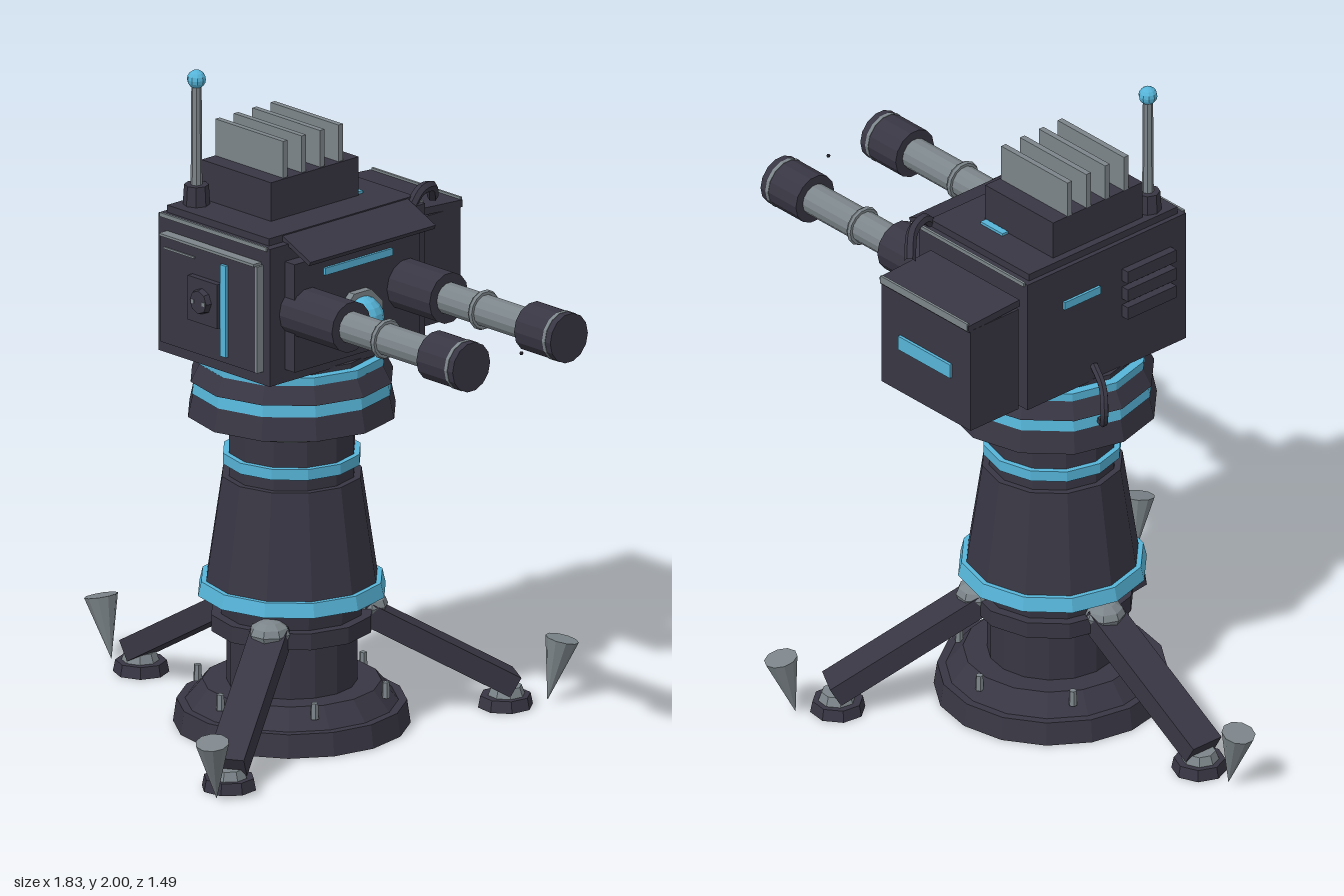
import * as THREE from 'three';

export function createModel() {
  const model = new THREE.Group();
  model.name = 'turret';
  const material = (name, color) => {
    const m = new THREE.MeshStandardMaterial({ color, flatShading: true });
    m.name = name;
    return m;
  };
  const dark = material('dark metal', 0x383643);
  const grey = material('grey steel', 0x7c858a);
  const cyan = material('cyan glow', 0x56b4d8);

  const add = (parent, name, geometry, mat, x = 0, y = 0, z = 0) => {
    const mesh = new THREE.Mesh(geometry, mat);
    mesh.name = name;
    mesh.position.set(x, y, z);
    parent.add(mesh);
    return mesh;
  };
  // box given by its limits on each axis
  const box = (parent, name, mat, [x0, x1], [y0, y1], [z0, z1]) =>
    add(parent, name, new THREE.BoxGeometry(x1 - x0, y1 - y0, z1 - z0), mat,
      (x0 + x1) / 2, (y0 + y1) / 2, (z0 + z1) / 2);
  // upright drum between two heights
  const drum = (parent, name, mat, rBottom, rTop, y0, y1, sides = 12, x = 0, z = 0) =>
    add(parent, name, new THREE.CylinderGeometry(rTop, rBottom, y1 - y0, sides), mat, x, (y0 + y1) / 2, z);
  // drum lying along x
  const barrel = (parent, name, mat, r, x0, x1, y, z, sides = 14) => {
    const m = add(parent, name, new THREE.CylinderGeometry(r, r, x1 - x0, sides), mat, (x0 + x1) / 2, y, z);
    m.rotation.z = -Math.PI / 2;
    return m;
  };
  const tube = (parent, name, mat, points, r) => {
    const curve = new THREE.CatmullRomCurve3(points.map(p => new THREE.Vector3(...p)));
    return add(parent, name, new THREE.TubeGeometry(curve, 14, r, 6), mat);
  };

  // Pedestal
  const column = new THREE.Group();
  column.name = 'pedestal';
  column.position.x = -0.065;
  model.add(column);
  [
    ['basePlate', dark, 0.345, 0.335, 0, 0.07, 16],
    ['baseStep', dark, 0.31, 0.26, 0.07, 0.13, 16],
    ['lowerColumn', dark, 0.19, 0.19, 0.13, 0.41, 16],
    ['legCollar', dark, 0.24, 0.24, 0.295, 0.345],
    ['upperCollar', dark, 0.21, 0.22, 0.345, 0.41],
    ['lowerGlowRing', cyan, 0.28, 0.27, 0.405, 0.448],
    ['taperedBody', dark, 0.255, 0.208, 0.448, 0.765],
    ['neck', dark, 0.188, 0.188, 0.765, 0.93],
    ['neckGlowRing', cyan, 0.205, 0.205, 0.803, 0.836],
    ['bearingRing', grey, 0.215, 0.24, 0.922, 0.955, 16],
    ['turntableLower', dark, 0.31, 0.295, 0.955, 1.025],
    ['turntableGlowBand', cyan, 0.298, 0.292, 1.025, 1.062],
    ['turntableUpper', dark, 0.302, 0.275, 1.062, 1.115],
    ['turntableTopGlow', cyan, 0.278, 0.278, 1.115, 1.14],
    ['turntableCap', dark, 0.25, 0.25, 1.14, 1.155],
  ].forEach(([name, mat, ...dims]) => drum(column, name, mat, ...dims));

  for (let i = 0; i < 6; i++) {
    const a = Math.PI / 6 + i * Math.PI / 3;
    drum(column, 'baseBolt', grey, 0.013, 0.011, 0.10, 0.148, 6, 0.285 * Math.cos(a), 0.285 * Math.sin(a));
  }

  // Three legs with feet and ground spikes
  for (const a of [Math.PI, Math.PI / 3, -Math.PI / 3]) {
    const leg = new THREE.Group();
    leg.name = 'leg';
    leg.rotation.y = a;
    column.add(leg);
    const hinge = add(leg, 'legHinge', new THREE.SphereGeometry(0.062, 8, 6), grey, 0.225, 0.342, 0);
    hinge.scale.y = 0.65;
    const from = new THREE.Vector2(0.2, 0.335), to = new THREE.Vector2(0.655, 0.07);
    const strut = add(leg, 'legStrut', new THREE.BoxGeometry(from.distanceTo(to), 0.066, 0.11), dark,
      (from.x + to.x) / 2, (from.y + to.y) / 2, 0);
    strut.rotation.z = Math.atan2(to.y - from.y, to.x - from.x);
    drum(leg, 'footPad', dark, 0.082, 0.075, 0, 0.035, 8, 0.637);
    drum(leg, 'footJoint', grey, 0.055, 0.045, 0.035, 0.062, 8, 0.64);
    const spike = add(leg, 'groundSpike', new THREE.ConeGeometry(0.05, 0.19, 10), grey, 0.784, 0.099, 0);
    spike.rotation.z = Math.PI - 0.235;
  }

  // Turret housing
  const head = new THREE.Group();
  head.name = 'head';
  model.add(head);
  box(head, 'housing', dark, [-0.3, 0.17], [1.15, 1.57], [-0.31, 0.31]);
  box(head, 'lid', dark, [-0.285, 0.145], [1.57, 1.592], [-0.29, 0.29]);
  for (const z of [-0.312, 0.312])
    box(head, 'lidTrim', grey, [-0.29, 0.16], [1.562, 1.574], [z - 0.004, z + 0.004]);
  box(head, 'frontPlate', dark, [0.17, 0.212], [1.19, 1.52], [-0.25, 0.25]);
  const visor = add(head, 'visor', new THREE.BoxGeometry(0.135, 0.014, 0.5), dark, 0.198, 1.557, -0.015);
  visor.rotation.z = -0.42;
  box(head, 'frontLight', cyan, [0.212, 0.22], [1.463, 1.485], [-0.135, 0.135]);

  // Sensor eye
  const rim = barrel(head, 'eyeRim', grey, 0.088, 0.205, 0.235, 1.305, 0, 8);
  rim.rotation.x = Math.PI / 8;
  add(head, 'eye', new THREE.SphereGeometry(0.068, 14, 10), cyan, 0.228, 1.305, 0);

  // Side panel on +z
  box(head, 'sidePanel', dark, [-0.265, 0.135], [1.19, 1.515], [0.31, 0.335]);
  box(head, 'sidePanelTrim', grey, [-0.265, 0.135], [1.515, 1.523], [0.31, 0.342]);
  box(head, 'sidePanelEdge', grey, [0.135, 0.143], [1.19, 1.515], [0.31, 0.335]);
  box(head, 'sidePanelGroove', grey, [-0.25, -0.12], [1.478, 1.484], [0.335, 0.339]);
  box(head, 'sideLight', cyan, [-0.005, 0.02], [1.21, 1.49], [0.335, 0.344]);
  box(head, 'hatch', dark, [-0.13, -0.005], [1.295, 1.43], [0.335, 0.355]);
  const knob = add(head, 'hatchKnob', new THREE.CylinderGeometry(0.035, 0.04, 0.02, 8), dark, -0.068, 1.365, 0.362);
  knob.rotation.x = Math.PI / 2;
  for (const x of [-0.09, -0.045])
    box(head, 'hatchLatch', grey, [x - 0.006, x + 0.006], [1.358, 1.37], [0.366, 0.374]);

  // Back vents and light
  for (const y of [1.34, 1.4, 1.46])
    box(head, 'backVent', dark, [-0.325, -0.3], [y - 0.02, y + 0.02], [0.06, 0.25]);
  box(head, 'backLight', cyan, [-0.308, -0.3], [1.435, 1.46], [-0.17, -0.03]);

  // Ammunition box on -z
  box(head, 'ammoMount', dark, [-0.22, 0.04], [1.22, 1.45], [-0.34, -0.31]);
  box(head, 'ammoBox', dark, [-0.29, 0.095], [1.16, 1.495], [-0.523, -0.335]);
  const ammoLid = add(head, 'ammoLid', new THREE.BoxGeometry(0.385, 0.022, 0.2), dark, -0.097, 1.508, -0.43);
  ammoLid.rotation.x = -0.06;
  box(head, 'ammoLidTrim', grey, [-0.285, 0.09], [1.496, 1.52], [-0.533, -0.525]);
  box(head, 'ammoLight', cyan, [-0.21, 0.015], [1.305, 1.35], [-0.532, -0.523]);
  tube(head, 'feedHose', dark, [[0.15, 1.56, -0.27], [0.145, 1.6, -0.31], [0.12, 1.595, -0.38], [0.07, 1.54, -0.435]], 0.017);
  tube(head, 'backCable', dark, [[-0.3, 1.2, -0.05], [-0.36, 1.16, -0.07], [-0.39, 1.1, -0.09], [-0.375, 1.05, -0.08], [-0.34, 1.04, -0.06]], 0.013);

  // Twin guns
  for (const z of [-0.195, 0.195]) {
    const gun = new THREE.Group();
    gun.name = 'gun';
    head.add(gun);
    barrel(gun, 'gunSleeve', dark, 0.077, 0.17, 0.392, 1.36, z);
    barrel(gun, 'gunBarrel', grey, 0.048, 0.39, 0.76, 1.36, z);
    const ring = add(gun, 'barrelRing', new THREE.TorusGeometry(0.052, 0.009, 6, 14), grey, 0.54, 1.36, z);
    ring.rotation.y = Math.PI / 2;
    barrel(gun, 'muzzle', dark, 0.075, 0.747, 0.9, 1.36, z);
    barrel(gun, 'muzzleBand', grey, 0.0765, 0.866, 0.878, 1.36, z);
  }
  add(head, 'aimDot', new THREE.SphereGeometry(0.006, 6, 4), dark, 0.905, 1.36, 0);

  // Cooling fins
  box(head, 'coolerBase', dark, [-0.262, 0.032], [1.59, 1.71], [-0.175, 0.175]);
  for (let i = 0; i < 4; i++) {
    const z = -0.11 + i * 0.0735;
    box(head, 'coolingFin', grey, [-0.262, 0.025], [1.71, 1.822], [z - 0.009, z + 0.009]);
  }
  box(head, 'roofLight', cyan, [-0.07, 0.025], [1.592, 1.6], [-0.2, -0.178]);

  // Antenna
  drum(head, 'antennaBase', dark, 0.04, 0.036, 1.59, 1.652, 8, -0.235, 0.22);
  drum(head, 'antennaRod', grey, 0.017, 0.015, 1.65, 1.96, 8, -0.235, 0.22);
  add(head, 'antennaTip', new THREE.SphereGeometry(0.028, 10, 8), cyan, -0.235, 1.973, 0.22);

  return model;
}
